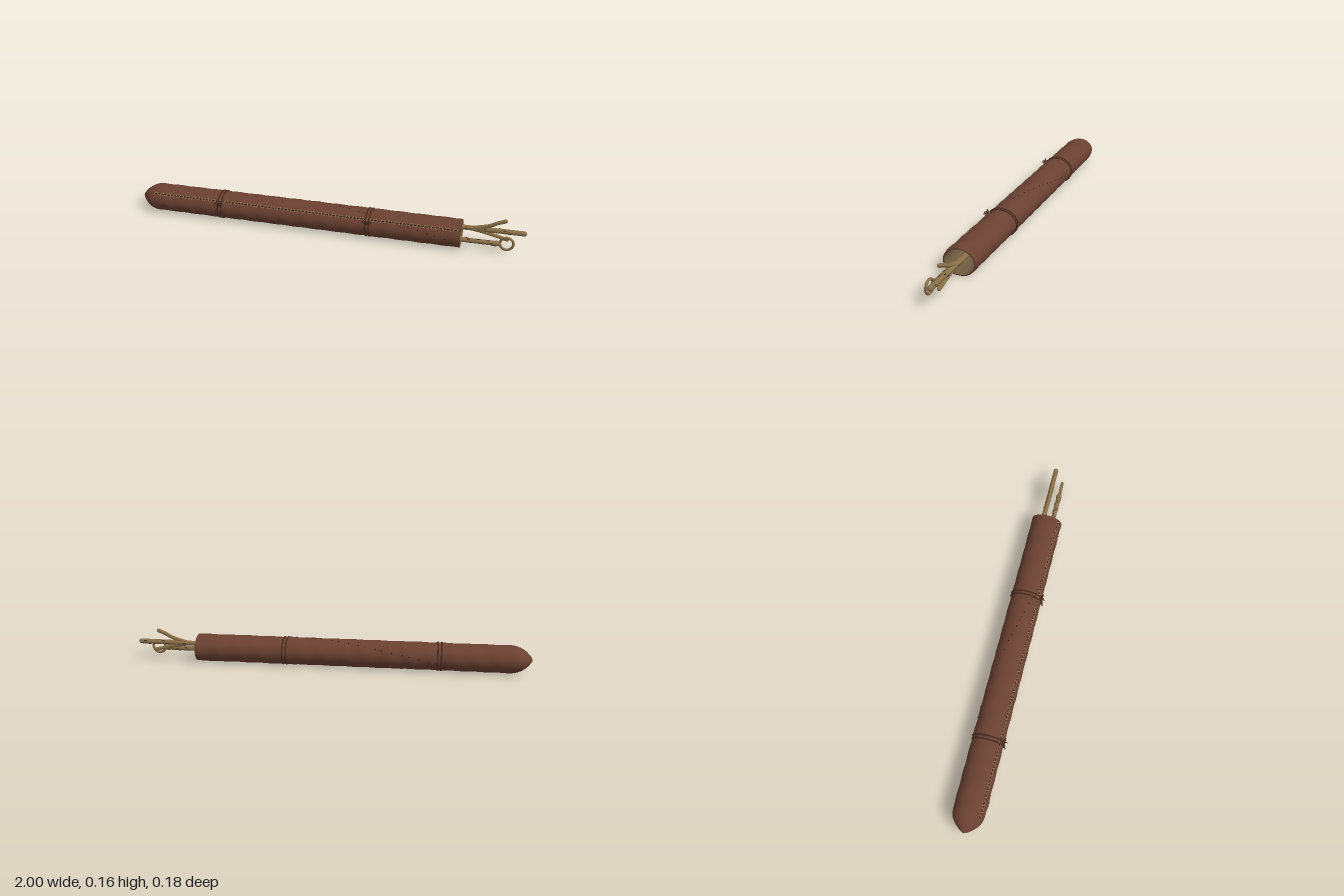
import * as THREE from 'three';
import { mergeGeometries } from 'three/addons/utils/BufferGeometryUtils.js';

const V = (x, y, z) => new THREE.Vector3(x, y, z);
const mat = (name, color) => {
  const m = new THREE.MeshStandardMaterial({ color });
  m.name = name;
  return m;
};

// Point on the roll: oval section, flattened underneath, with helical ripples
function rollPoint(x, a, s = 1) {
  const ripple = 1 + 0.013 * Math.sin(58 * x + 2 * a);
  const r = s * ripple;
  return V(x, Math.max((1 - s) * 0.06, 0.065 + 0.068 * r * Math.sin(a)), -0.005 + 0.079 * r * Math.cos(a));
}

// Skin swept through rings of [x, scale]; running back along x faces inward
function skin(rings, sides = 48) {
  const pos = [], idx = [];
  rings.forEach(([x, s], i) => {
    for (let j = 0; j < sides; j++) {
      pos.push(...rollPoint(x, (j / sides) * Math.PI * 2, s).toArray());
      if (i === rings.length - 1) continue;
      const k = (j + 1) % sides;
      const a = i * sides + j, b = a + sides, c = (i + 1) * sides + k, d = i * sides + k;
      idx.push(a, b, c, a, c, d);
    }
  });
  const g = new THREE.BufferGeometry();
  g.setAttribute('position', new THREE.Float32BufferAttribute(pos, 3));
  g.setIndex(idx);
  g.computeVertexNormals();
  return g;
}

export function createModel() {
  const model = new THREE.Group();
  const leather = mat('leather', 0x6b4131);
  const lining = mat('lining', 0x6e5a40);
  const wood = mat('wood', 0x8a7048);
  const cord = mat('cord', 0x4a2c20);
  const thread = mat('thread', 0x8c7650);
  const dark = mat('darkMark', 0x33211a);

  const add = (name, geo, material, parent = model) => {
    const m = new THREE.Mesh(geo, material);
    m.name = name;
    parent.add(m);
    return m;
  };
  const tube = (pts, r, closed = false, seg = 24) =>
    new THREE.TubeGeometry(new THREE.CatmullRomCurve3(pts, closed), seg, r, 10, closed);

  // Leather roll with a rounded, gathered end and an open mouth
  const rings = [[-1, 0.01], [-0.995, 0.18], [-0.985, 0.36], [-0.97, 0.58], [-0.955, 0.74], [-0.94, 0.87], [-0.92, 0.96], [-0.9, 1]];
  for (let i = 1; i <= 140; i++) rings.push([-0.9 + (1.59 * i) / 140, 1]);
  add('leatherRoll', skin(rings), leather);
  add('mouthRim', skin([[0.69, 1], [0.691, 0.92]]), leather);
  add('innerLining', skin([[0.691, 0.92], [0.5, 0.91], [0, 0.91], [-0.5, 0.91], [-0.88, 0.88], [-0.96, 0.02]]), lining);

  // Stitched seam along the upper front
  const seamAngle = 0.7;
  const seamPath = [];
  for (let i = 0; i <= 80; i++) seamPath.push(rollPoint(-0.92 + i * 0.0201, seamAngle, 0.995));
  add('seam', tube(seamPath, 0.0022, false, 160), dark);
  const stitches = [];
  for (let i = 0; i < 90; i++) {
    const g = new THREE.BoxGeometry(0.004, 0.018, 0.004);
    const p = rollPoint(-0.91 + i * 0.0178, seamAngle, 1.01);
    g.rotateZ(i % 2 ? 0.5 : -0.5);
    g.rotateX(-seamAngle);
    g.translate(p.x, p.y, p.z);
    stitches.push(g);
  }
  add('stitches', mergeGeometries(stitches), thread);

  // Small worn marks scattered over the leather
  const marks = [];
  for (let i = 0; i < 36; i++) {
    const x = -0.85 + ((i * 0.618) % 1) * 1.5;
    const a = -0.7 + ((i * 0.382 + 0.13) % 1) * 4.4;
    const g = new THREE.SphereGeometry(0.003, 6, 4);
    const p = rollPoint(x, a, 1);
    g.scale(1.4, 1, 1);
    g.translate(p.x, p.y, p.z);
    marks.push(g);
  }
  add('wornMarks', mergeGeometries(marks), dark);

  // Double cord ties, each knotted at the front with hanging tails
  for (const x of [-0.545, 0.232]) {
    const tie = new THREE.Group();
    tie.name = 'cordTie';
    model.add(tie);
    for (const dx of [-0.009, 0.009]) {
      const loop = [];
      for (let j = 0; j < 32; j++) {
        const p = rollPoint(x + dx, (j / 32) * Math.PI * 2, 1.01);
        p.y = Math.max(p.y, 0.004);
        loop.push(p);
      }
      add('cordLoop', tube(loop, 0.004, true, 64), cord, tie);
    }
    const knot = add('knot', new THREE.SphereGeometry(0.009, 12, 8), cord, tie);
    knot.scale.set(1.5, 1, 0.9);
    knot.position.set(x, 0.1, 0.072);
    add('cordTail', tube([V(x, 0.1, 0.075), V(x + 0.01, 0.08, 0.081), V(x + 0.018, 0.037, 0.085)], 0.0024), cord, tie);
    add('cordTail', tube([V(x, 0.1, 0.075), V(x - 0.012, 0.075, 0.08), V(x - 0.016, 0.045, 0.083)], 0.0024), cord, tie);
    for (const s of [-1, 1]) {
      add('cordBow', tube([V(x, 0.1, 0.074), V(x + s * 0.014, 0.112, 0.077), V(x + s * 0.022, 0.102, 0.079), V(x, 0.1, 0.076)], 0.0024), cord, tie);
    }
  }

  // Sticks: tube with rounded ends
  const stick = (name, pts, r) => {
    const g = new THREE.Group();
    g.name = name;
    model.add(g);
    add('shaft', tube(pts, r), wood, g);
    for (const p of [pts[0], pts[pts.length - 1]]) {
      add('roundedEnd', new THREE.SphereGeometry(r, 12, 8), wood, g).position.copy(p);
    }
  };
  stick('forkedStick', [V(-0.3, 0.07, -0.025), V(0.4, 0.085, -0.028), V(0.75, 0.09, -0.026), V(0.988, 0.092, -0.026)], 0.0125);
  stick('upperBranch', [V(0.74, 0.092, -0.025), V(0.82, 0.115, -0.022), V(0.86, 0.136, -0.021), V(0.895, 0.15, -0.021)], 0.0095);
  stick('lowerBranch', [V(0.73, 0.088, -0.025), V(0.82, 0.072, -0.024), V(0.91, 0.05, -0.024)], 0.009);
  stick('ringStick', [V(-0.3, 0.04, 0.018), V(0.4, 0.044, 0.02), V(0.872, 0.047, 0.022)], 0.012);

  // Ring handle and its collar
  add('ringHandle', new THREE.TorusGeometry(0.032, 0.0065, 10, 32), wood).position.set(0.91, 0.052, 0.022);
  const collar = add('ringCollar', new THREE.CylinderGeometry(0.0145, 0.0145, 0.014, 16), wood);
  collar.rotation.z = Math.PI / 2;
  collar.position.set(0.858, 0.047, 0.022);

  // Bark marks along the exposed sticks
  const bark = [];
  for (let i = 0; i < 24; i++) {
    const upper = i % 2 === 0;
    const a = i * 2.4, r = upper ? 0.0122 : 0.0117;
    const g = new THREE.BoxGeometry(0.014, 0.003, 0.003);
    g.translate(0.71 + i * (upper ? 0.0115 : 0.006), (upper ? 0.091 : 0.0465) + r * Math.sin(a), (upper ? -0.026 : 0.0215) + r * Math.cos(a));
    bark.push(g);
  }
  add('barkMarks', mergeGeometries(bark), dark);

  return model;
}
